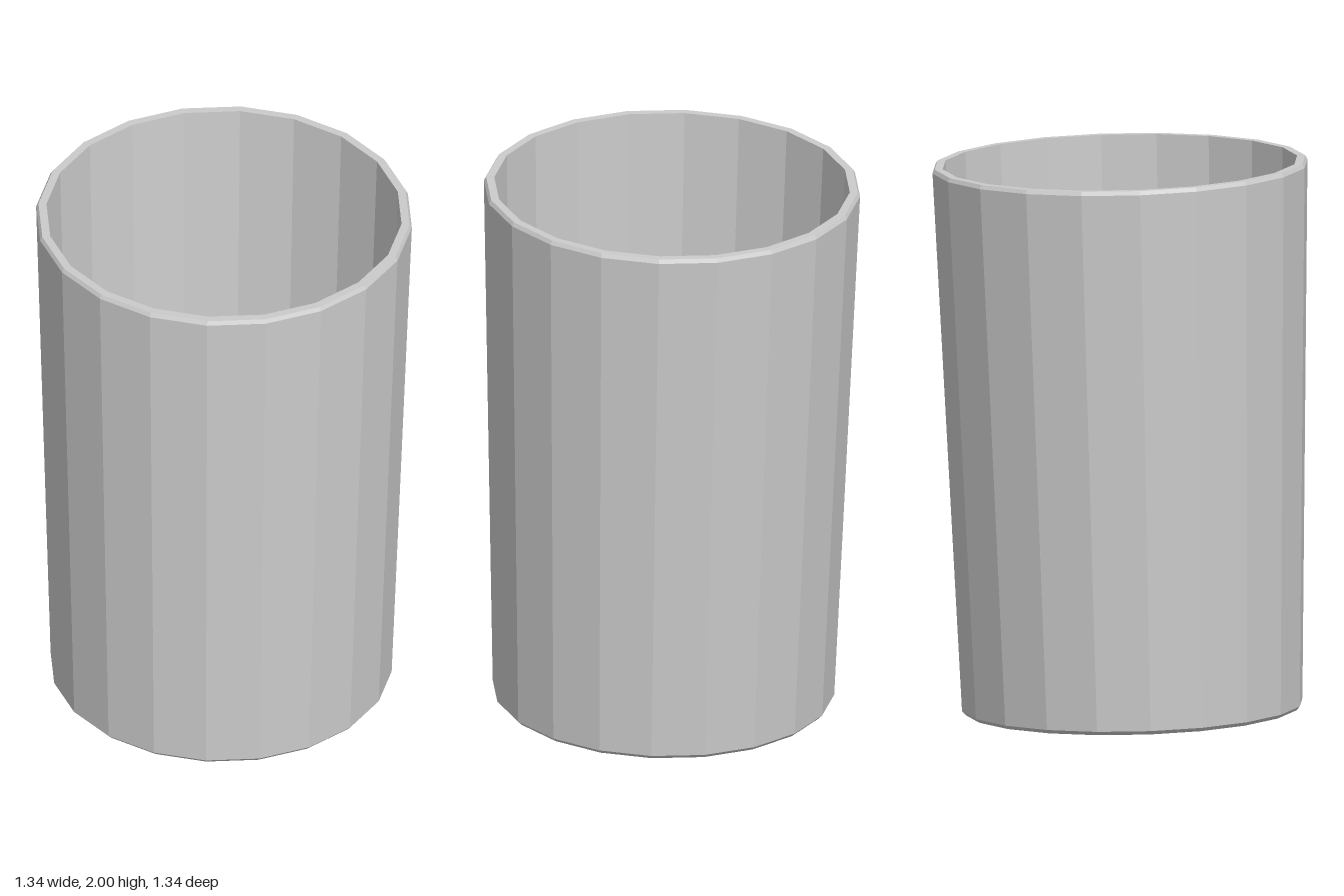
import * as THREE from 'three';

const SIDES = 20;

export function createModel() {
  const group = new THREE.Group();
  group.name = 'tumbler';

  // closed section: underside, chamfer, outer wall, rim, inner wall, floor
  const section = [
    [0, 0], [0.597, 0], [0.61, 0.014],
    [0.672, 1.957], [0.664, 1.971], [0.635, 1.971],
    [0.577, 0.04], [0, 0.04],
  ].map(([r, y]) => new THREE.Vector2(r, y));

  const geometry = new THREE.LatheGeometry(section, SIDES, THREE.MathUtils.degToRad(-4.5));
  const material = new THREE.MeshStandardMaterial({ color: 0xcccccc, flatShading: true });
  const cup = new THREE.Mesh(geometry, material);
  cup.name = 'cup';

  // the cup leans slightly backwards
  cup.rotation.set(-0.0228, 0, -0.005);
  cup.position.set(-0.01, 0.014, 0.045);
  group.add(cup);
  return group;
}
